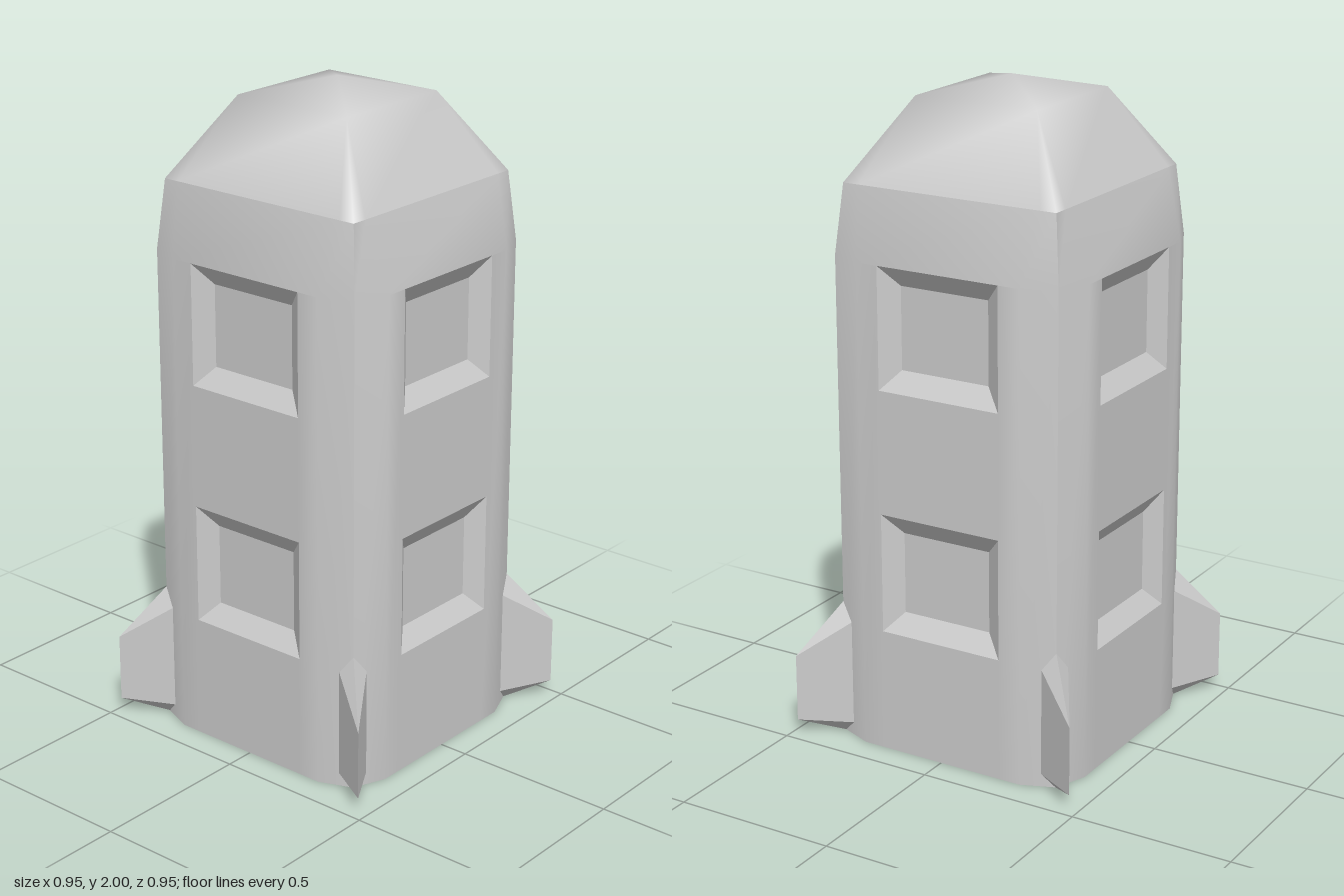
import * as THREE from 'three';
import { mergeVertices, mergeGeometries, toCreasedNormals } from 'three/addons/utils/BufferGeometryUtils.js';

// Fans each convex polygon (counter-clockwise corners) into triangles
function fromPolygons(polygons) {
  const pos = [];
  for (const p of polygons)
    for (let i = 1; i < p.length - 1; i++) pos.push(...p[0], ...p[i], ...p[i + 1]);
  const g = new THREE.BufferGeometry();
  g.setAttribute('position', new THREE.Float32BufferAttribute(pos, 3));
  return g;
}

// Repeats a geometry on the four sides
const fourSides = (g) =>
  mergeGeometries([0, 1, 2, 3].map((i) => g.clone().rotateY((i * Math.PI) / 2)));

// Upright rectangle on the front wall
const WALL = 0.41;
const rect = (x0, x1, y0, y1, z = WALL) => [[x0, y0, z], [x1, y0, z], [x1, y1, z], [x0, y1, z]];

// Recessed window with a bevelled frame
function windowPolygons(y0, y1) {
  const outer = rect(-0.2, 0.2, y0, y1);
  const inner = rect(-0.145, 0.145, y0 + 0.06, y1 - 0.06, WALL - 0.04);
  const frame = outer.map((p, i) => {
    const j = (i + 1) % 4;
    return [p, outer[j], inner[j], inner[i]];
  });
  return [inner, ...frame];
}

export function createModel() {
  const model = new THREE.Group();
  const material = new THREE.MeshStandardMaterial({ color: 0xcccccc });
  const add = (name, geometry, parent = model) => {
    const mesh = new THREE.Mesh(geometry, material);
    mesh.name = name;
    parent.add(mesh);
    return mesh;
  };

  // Hull: one wall with two windows, its rounded corners and the shoulder above
  const E = 0.27, C = 0.37, TOP = 1.5, SHOULDER = 1.71;
  const wall = [
    rect(-E, -0.2, 0, TOP), rect(0.2, E, 0, TOP),
    rect(-0.2, 0.2, 0, 0.38), rect(-0.2, 0.2, 0.75, 1.13),
    ...windowPolygons(0.38, 0.75), ...windowPolygons(1.13, TOP),
    [[E, 0, WALL], [C, 0, C], [C, TOP, C], [E, TOP, WALL]],
    [[-C, 0, C], [-E, 0, WALL], [-E, TOP, WALL], [-C, TOP, C]],
    [[-E, TOP, WALL], [E, TOP, WALL], [0.3, SHOULDER, 0.35], [-0.3, SHOULDER, 0.35]],
    [[E, TOP, WALL], [C, TOP, C], [0.35, SHOULDER, 0.35], [0.3, SHOULDER, 0.35]],
    [[-C, TOP, C], [-E, TOP, WALL], [-0.3, SHOULDER, 0.35], [-0.35, SHOULDER, 0.35]],
    // quarter of the flat underside
    [[0, 0, 0], [C, 0, C], [E, 0, WALL], [-E, 0, WALL], [-C, 0, C]],
  ];
  add('hull', toCreasedNormals(fourSides(fromPolygons(wall)), 0.52));

  // Nose: smooth four-sided dome
  const apex = [0, 2, 0], l = [-0.2, 1.95, 0.2], r = [0.2, 1.95, 0.2];
  const y = SHOULDER, s = 0.35;
  const nose = mergeVertices(fourSides(fromPolygons([
    [[-0.3, y, s], [0.3, y, s], r, l],
    [[0.3, y, s], [s, y, s], r],
    [[-s, y, s], [-0.3, y, s], l],
    [l, r, apex],
  ])), 1e-3);
  nose.computeVertexNormals();
  add('nose', nose);

  // Fins: pointed wedges on the four corners
  const tipLow = [0.475, 0.05, 0.475], tipHigh = [0.475, 0.26, 0.475];
  const rootLow = [C, 0, C], rootHigh = [C, 0.425, C];
  const sideLow = [0.33, 0.04, 0.386], sideHigh = [0.33, 0.37, 0.386];
  const half = [
    [sideLow, tipLow, tipHigh, sideHigh],
    [sideHigh, tipHigh, rootHigh],
    [sideLow, rootLow, tipLow],
  ];
  const mirrored = half.map((p) => p.map(([a, b, c]) => [c, b, a]).reverse());
  const finGeometry = fromPolygons([...half, ...mirrored]);
  finGeometry.computeVertexNormals();
  const fins = new THREE.Group();
  fins.name = 'fins';
  model.add(fins);
  for (let i = 0; i < 4; i++) add('fin', finGeometry, fins).rotation.y = (i * Math.PI) / 2;

  return model;
}
